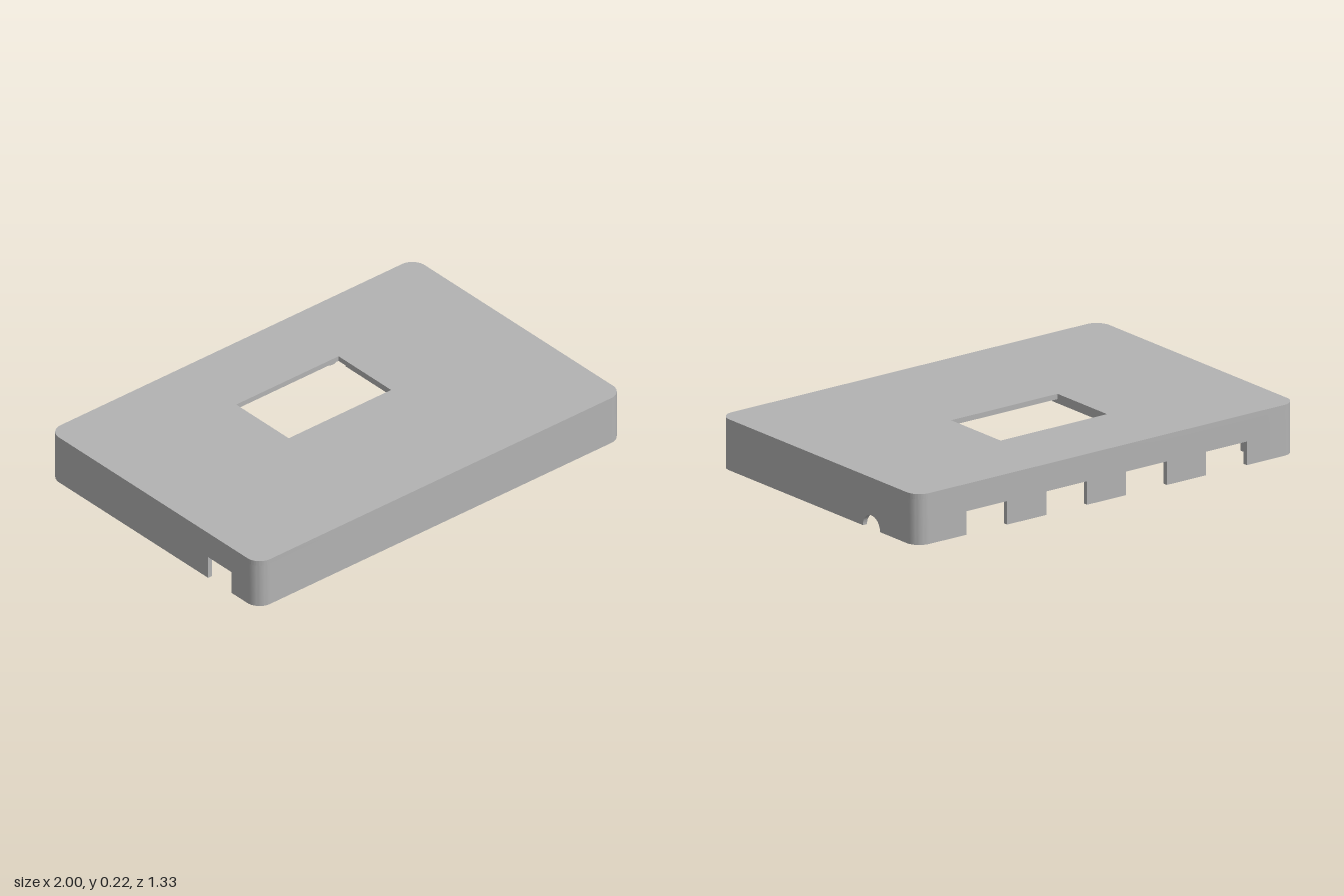
import * as THREE from 'three';
import { toCreasedNormals } from 'three/addons/utils/BufferGeometryUtils.js';

const W = 1, D = 0.667, H = 0.223;      // half width, half depth, height
const FLOOR = 0.2;                      // underside of the top plate
const R = 0.067, T = 0.022, POST = 0.167;
const NOTCH = 0.103;

export function createModel() {
  const model = new THREE.Group();
  const grey = new THREE.MeshStandardMaterial({ color: 0xb3b3b3 });
  grey.name = 'grey plastic';

  const add = (name, geometry) => {
    const mesh = new THREE.Mesh(geometry, grey);
    mesh.name = name;
    model.add(mesh);
    return mesh;
  };
  const extrude = (shape, depth) => toCreasedNormals(
    new THREE.ExtrudeGeometry(shape, { depth, bevelEnabled: false, curveSegments: 24 }), 0.6);
  // Extrude an x/z outline downward from the given height
  const slab = (name, shape, top, bottom) => {
    const geometry = extrude(shape, top - bottom);
    geometry.rotateX(Math.PI / 2);
    add(name, geometry).position.y = top;
  };
  const rect = (Type, x0, z0, x1, z1) => {
    const p = new Type();
    p.moveTo(x0, z0); p.lineTo(x1, z0); p.lineTo(x1, z1); p.lineTo(x0, z1);
    p.closePath();
    return p;
  };
  const circle = (Type, x, z, r) => new Type().absarc(x, z, r, 0, Math.PI * 2);

  // Top plate with rounded corners and a display window
  const plate = new THREE.Shape();
  [[1, 1], [-1, 1], [-1, -1], [1, -1]].forEach(([sx, sz], i) =>
    plate.absarc(sx * (W - R), sz * (D - R), R, i * Math.PI / 2, (i + 1) * Math.PI / 2));
  plate.closePath();
  plate.holes.push(rect(THREE.Path, -0.28, -0.31, 0.28, 0.025));
  slab('topPlate', plate, H, FLOOR);

  // Corner posts with blind screw holes
  for (const sx of [-1, 1]) for (const sz of [-1, 1]) {
    const pts = [[W - POST, D], [W - POST, D - POST], [W, D - POST]];
    for (let i = 0; i <= 12; i++) {
      const a = i / 12 * Math.PI / 2;
      pts.push([W - R + R * Math.cos(a), D - R + R * Math.sin(a)]);
    }
    const post = new THREE.Shape(pts.map(([x, z]) => new THREE.Vector2(x * sx, z * sz)));
    post.holes.push(circle(THREE.Path, sx * (W - POST / 2), sz * (D - POST / 2), 0.054));
    slab('cornerPost', post, FLOOR, 0);
  }

  // Walls between posts, with openings cut up from the lower edge
  const wall = (half, notches, arch) => {
    const s = new THREE.Shape();
    s.moveTo(-half, FLOOR);
    s.lineTo(-half, 0);
    for (const [a, b] of notches) {
      s.lineTo(a, 0); s.lineTo(a, NOTCH); s.lineTo(b, NOTCH); s.lineTo(b, 0);
    }
    if (arch) s.absarc(arch.u, 0, arch.r, Math.PI, 0, true);
    if (!notches.some(n => n[1] === half)) s.lineTo(half, 0);
    s.lineTo(half, FLOOR);
    s.closePath();
    return extrude(s, T);
  };
  const halfX = W - POST, halfZ = D - POST;
  const ports = [-0.63, -0.21, 0.21, 0.63].map(c => [c - 0.107, c + 0.107]);
  add('frontWall', wall(halfX, [])).position.z = D - T;
  add('backWall', wall(halfX, ports)).position.z = -D;
  const archWall = add('cableHoleWall', wall(halfZ, [], { u: -0.362, r: 0.058 }));
  archWall.rotation.y = -Math.PI / 2;
  archWall.position.x = W;
  const slotWall = add('slotWall', wall(halfZ, [[0.35, halfZ - 0.002]]));
  slotWall.rotation.y = -Math.PI / 2;
  slotWall.position.x = -W + T;

  // Display mount under the window: ribs, front lip and four screw bosses
  for (const s of [-1, 1]) {
    slab('displayRib', rect(THREE.Shape, s * 0.31, -0.3, s * 0.33, 0.1), FLOOR, 0.165);
    for (const z of [-0.362, 0.162]) {
      const boss = circle(THREE.Shape, s * 0.262, z, 0.038);
      boss.holes.push(circle(THREE.Path, s * 0.262, z, 0.02));
      slab('screwBoss', boss, FLOOR, 0.183);
    }
  }
  slab('displayLip', rect(THREE.Shape, -0.2, 0.14, 0.2, 0.155), FLOOR, 0.19);

  return model;
}
